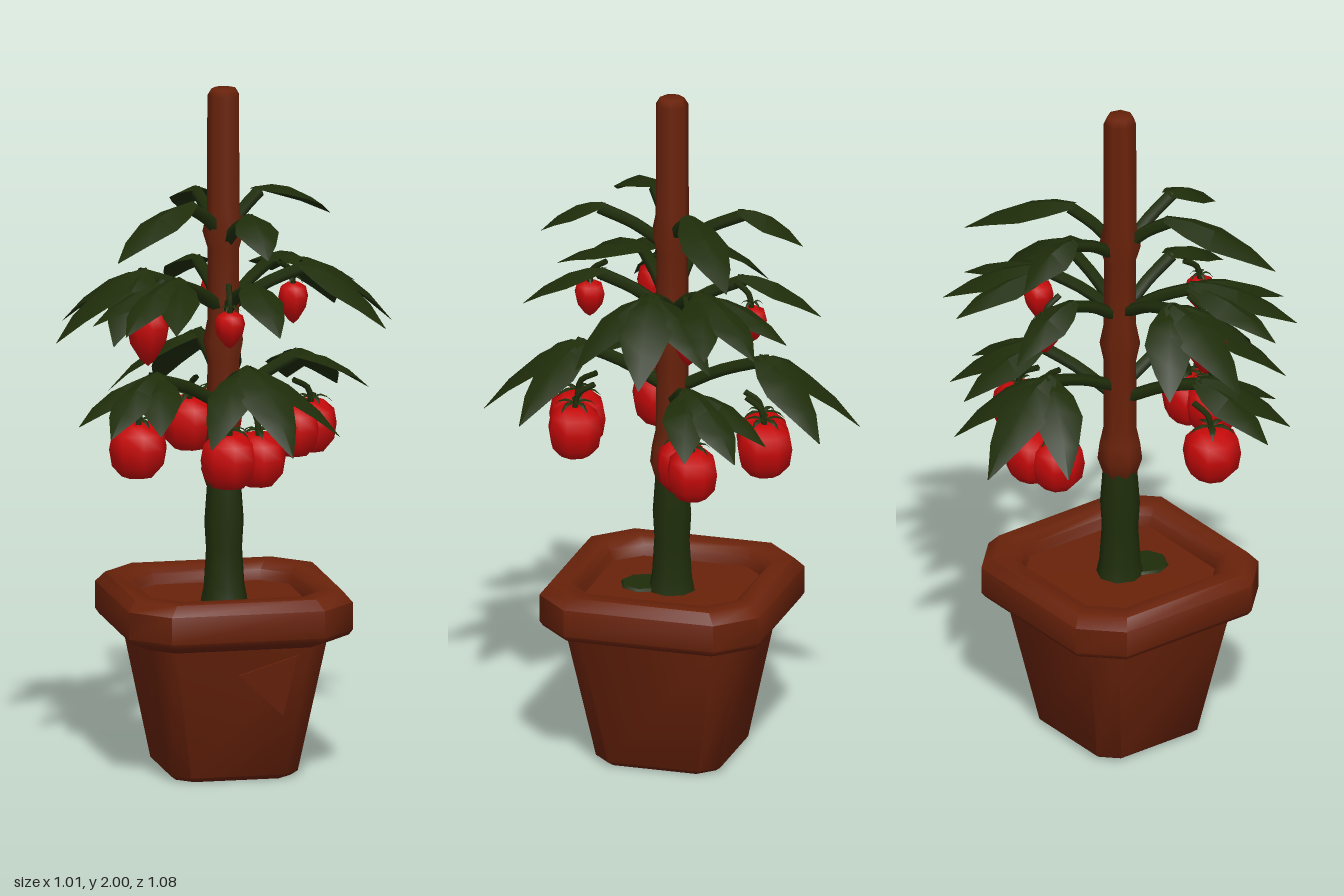
import * as THREE from 'three';
import { toCreasedNormals } from 'three/addons/utils/BufferGeometryUtils.js';

const mat = (name, color, side = THREE.FrontSide) => {
  const m = new THREE.MeshStandardMaterial({ color, side });
  m.name = name;
  return m;
};

export function createModel() {
  const terracotta = mat('terracotta', 0x69220a);
  const green = mat('leaf green', 0x1f2d0a, THREE.DoubleSide);
  const red = mat('tomato red', 0xc60909);
  const root = new THREE.Group();
  root.name = 'pottedTomatoPlant';

  const add = (parent, name, geo, material) => {
    const m = new THREE.Mesh(geo, material);
    m.name = name;
    parent.add(m);
    return m;
  };
  const group = (name) => {
    const g = new THREE.Group();
    g.name = name;
    root.add(g);
    return g;
  };
  // Surface through rows of points, optionally closed around each row
  const loft = (rows, closed, crease) => {
    const n = rows[0].length, pos = rows.flat(2), idx = [];
    for (let r = 0; r < rows.length - 1; r++) {
      for (let i = 0; i < (closed ? n : n - 1); i++) {
        const a = r * n + i, b = r * n + (i + 1) % n;
        idx.push(a, a + n, b, b, a + n, b + n);
      }
    }
    const g = new THREE.BufferGeometry();
    g.setAttribute('position', new THREE.Float32BufferAttribute(pos, 3));
    g.setIndex(idx);
    g.computeVertexNormals();
    return toCreasedNormals(g, crease);
  };
  const tube = (points, radius) => new THREE.TubeGeometry(
    new THREE.CatmullRomCurve3(points.map((p) => new THREE.Vector3(...p))), 6, radius, 5);

  // Pot: square sections with cut corners [half width, corner cut, y], outside to soil
  const pot = group('pot');
  const section = ([h, c, y]) => {
    const k = h - c;
    return [[h, k], [k, h], [-k, h], [-h, k], [-h, -k], [-k, -h], [k, -h], [h, -k]]
      .map(([x, z]) => [x, y, z]);
  };
  const potRows = [
    [0.001, 0.0003, 0], [0.17, 0.045, 0], [0.187, 0.05, 0.014], [0.258, 0.06, 0.4],
    [0.272, 0.07, 0.405], [0.32, 0.1, 0.425], [0.33, 0.105, 0.44], [0.33, 0.105, 0.52],
    [0.305, 0.1, 0.55], [0.255, 0.08, 0.55], [0.235, 0.075, 0.53], [0.225, 0.07, 0.5],
    [0.001, 0.0003, 0.495],
  ].map(section);
  add(pot, 'potBody', loft(potRows, true, 0.8), terracotta);
  // Raised shard on the front wall
  const shardShape = new THREE.Shape([[-0.01, 0.33], [0.125, 0.2], [0.16, 0.385]]
    .map((p) => new THREE.Vector2(...p)));
  const shard = add(pot, 'wallShard',
    new THREE.ExtrudeGeometry(shardShape, { depth: 0.008, bevelEnabled: false }), terracotta);
  shard.position.z = 0.181;
  shard.rotation.x = 0.182;

  // Green stem with a flared foot, and the knotted stake above it
  const trunk = group('trunk');
  const lathe = (pts, sides) =>
    new THREE.LatheGeometry(pts.map((p) => new THREE.Vector2(...p)), sides);
  add(trunk, 'stem', lathe([[0.07, 0.49], [0.06, 0.54], [0.053, 0.65], [0.058, 0.73],
    [0.05, 0.84]], 8), green);
  const patch = add(trunk, 'stemFoot', new THREE.CylinderGeometry(0.065, 0.07, 0.008, 8), green);
  patch.position.set(-0.005, 0.502, 0.085);
  add(trunk, 'stake', lathe([[0.03, 0.8], [0.05, 0.83], [0.066, 0.88], [0.06, 0.93],
    [0.049, 0.98], [0.048, 1.2], [0.06, 1.26], [0.048, 1.32], [0.047, 1.53], [0.062, 1.58],
    [0.049, 1.64], [0.048, 1.98], [0.036, 2], [0, 2]], 7), terracotta);

  // Drooping leaf, folded along its midrib
  const leaf = (parent, [bx, by, bz], yaw, len, drop, width) => {
    const cx = Math.cos(yaw), cz = Math.sin(yaw);
    const outline = [[0, 0.3], [0.22, 0.8], [0.45, 1], [0.75, 0.6], [1, 0.02]];
    const rows = outline.map(([t, w]) => {
      const y = by + 0.06 * t * (1 - t) - drop * (0.4 * t + 0.6 * t * t);
      return [-1, 0, 1].map((s) => {
        const q = s * w * width / 2;
        return [bx + cx * t * len - cz * q, y - Math.abs(q) * 0.4, bz + cz * t * len + cx * q];
      });
    });
    add(parent, 'leaf', loft(rows, false, 0.7), green);
  };

  // Clusters, each repeated half a turn round the stake:
  // base x, y, z, heading in degrees, length, drop, width, side spread (0 = single)
  const clusters = [
    [0.11, 1.69, -0.08, -37, 0.33, 0.13, 0.14, 0],
    [0.03, 1.67, 0.19, 85, 0.19, 0.1, 0.13, 0],
    [0.23, 1.485, -0.005, -10, 0.28, 0.2, 0.16, 47],
    [0.03, 1.47, 0.19, 80, 0.24, 0.12, 0.13, 0],
    [0.16, 1.48, -0.13, -48, 0.31, 0.12, 0.14, 28],
    [0.01, 1.24, 0.26, 75, 0.29, 0.22, 0.16, 49],
    [0.22, 1.2, -0.11, -48, 0.27, 0.15, 0.15, 32],
  ];
  const foliage = group('foliage');
  for (const turn of [1, -1]) {
    for (const [bx, y, bz, deg, len, drop, width, spread] of clusters) {
      const x = bx * turn, z = bz * turn, tip = [x, y, z];
      const yaw = deg * Math.PI / 180 + (turn < 0 ? Math.PI : 0);
      const s = spread * Math.PI / 180;
      add(foliage, 'branch', tube([[x * 0.1, y - 0.12, z * 0.1],
        [x * 0.55, y - 0.06, z * 0.55], [x * 1.1, y - 0.015, z * 1.1]], 0.019), green);
      leaf(foliage, tip, yaw, len, drop, width);
      if (!spread) continue;
      for (const side of [1, -1]) {
        leaf(foliage, [x, y - 0.01, z], yaw + side * s, len * 0.95, drop * 0.85, width * 0.9);
      }
    }
  }

  // Tomatoes: x, y, z, radius, half height
  const fruit = [
    [-0.28, 0.975, 0.12, 0.085, 0.083], [0.23, 0.965, -0.1, 0.075, 0.078],
    [0.29, 0.965, -0.15, 0.075, 0.078], [-0.05, 0.97, 0.3, 0.085, 0.083],
    [0.04, 0.965, 0.28, 0.08, 0.08], [-0.045, 0.965, -0.26, 0.08, 0.08],
    [0.035, 0.97, -0.29, 0.083, 0.083], [-0.25, 1.31, 0.12, 0.062, 0.09],
    [0.23, 1.335, -0.12, 0.044, 0.062], [-0.04, 1.345, 0.26, 0.045, 0.055],
    [0.03, 1.345, -0.25, 0.045, 0.055],
  ];
  const tomatoes = group('tomatoes');
  for (const [x, y, z, r, h] of fruit) {
    // Plump low ones, pointed young ones higher up
    const profile = y < 1.2
      ? [[0, -0.95], [0.55, -0.93], [0.9, -0.55], [1, 0.05], [0.9, 0.6], [0.5, 0.95], [0, 0.87]]
      : [[0, -1], [0.35, -0.8], [0.85, -0.25], [1, 0.3], [0.85, 0.75], [0.4, 0.95], [0, 0.9]];
    const body = add(tomatoes, 'tomato', lathe(profile.map(([a, b]) => [a * r, b * h]), 8), red);
    body.position.set(x, y, z);
    const top = y + h * 0.93;
    add(tomatoes, 'stalk', tube([[x, top - 0.01, z], [x * 0.96, top + 0.04, z * 0.96],
      [x * 0.8, top + 0.07, z * 0.8]], 0.009), green);
    // Star of slim sepals
    for (let i = 0; i < 5; i++) {
      leaf(tomatoes, [x, top + 0.008, z], i * Math.PI * 0.4 + x * 9, r * 0.8, r * 0.15, r * 0.25);
    }
  }
  return root;
}
